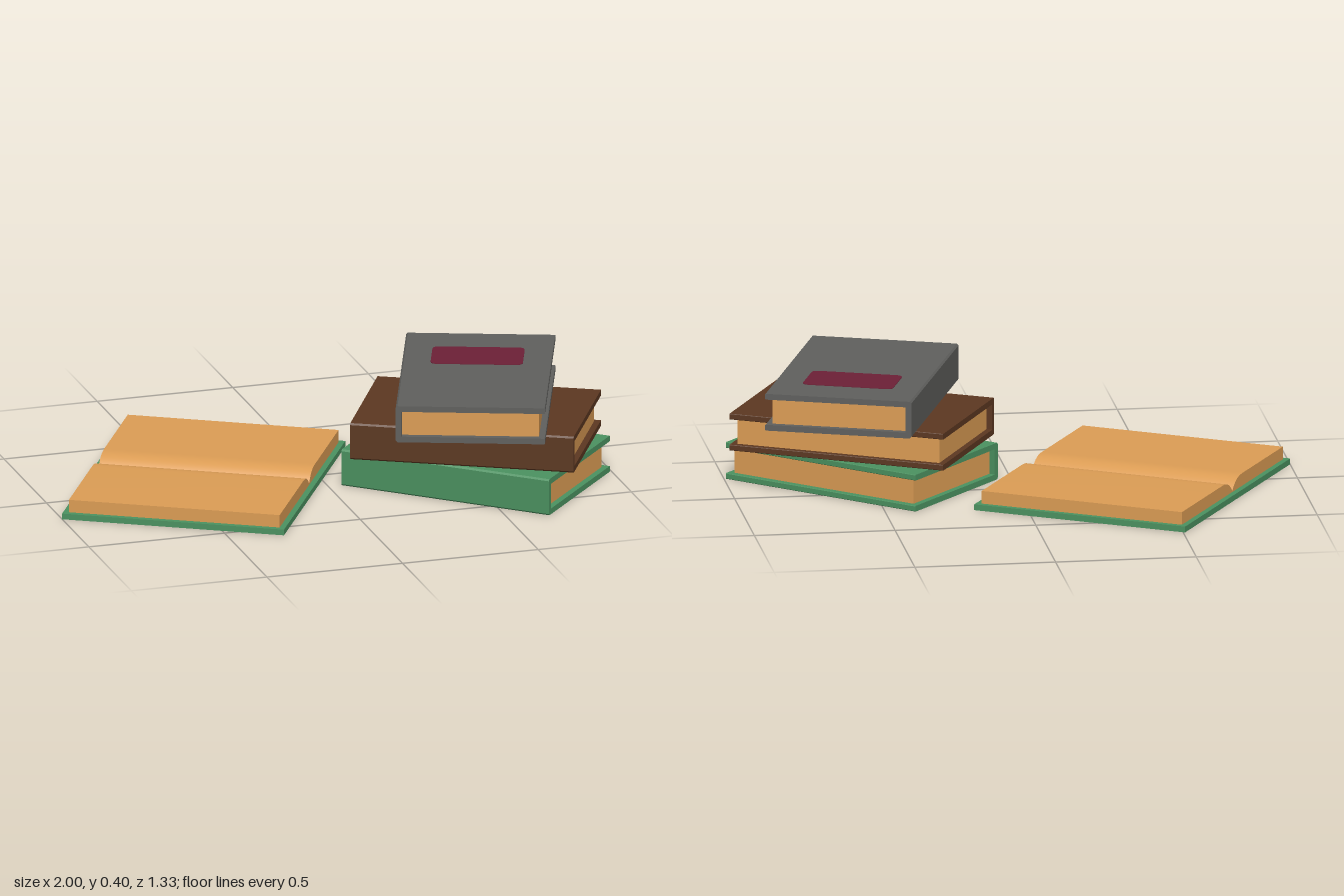
import * as THREE from 'three';
import { toCreasedNormals } from 'three/addons/utils/BufferGeometryUtils.js';

const LENGTH = 0.8;    // along the spine
const WIDTH = 0.526;   // closed book, spine to fore edge
const HEIGHT = 0.134;  // closed book thickness
const BOARD = 0.021;   // cover thickness
const INSET = 0.022;   // pages sit back from the cover edge

const flat = (name, color) => {
  const m = new THREE.MeshStandardMaterial({ color });
  m.name = name;
  return m;
};

// Extrudes an x/y outline along z, centred on z = 0
function prism(shape, length, name, material) {
  const geo = new THREE.ExtrudeGeometry(shape, { depth: length, bevelEnabled: false, curveSegments: 10 });
  geo.translate(0, 0, -length / 2);
  const mesh = new THREE.Mesh(toCreasedNormals(geo, 0.6), material);
  mesh.name = name;
  return mesh;
}

const outline = (points) => new THREE.Shape(points.map(([x, y]) => new THREE.Vector2(x, y)));

// Closed book: C-shaped cover with the spine at -x, and a page block
function closedBook(name, cover, paper) {
  const book = new THREE.Group();
  book.name = name;
  const w = WIDTH / 2, h = HEIGHT, b = BOARD, c = 0.006, e = 0.002;
  book.add(prism(outline([
    [-w + c, 0], [w - e, 0], [w, e], [w, b - e], [w - e, b], [-w + b, b],
    [-w + b, h - b], [w - e, h - b], [w, h - b + e], [w, h - e], [w - e, h],
    [-w + c, h], [-w, h - c], [-w, c],
  ]), LENGTH, 'cover', cover));
  const pageWidth = WIDTH - BOARD - INSET;
  const pages = new THREE.Mesh(
    new THREE.BoxGeometry(pageWidth, h - 2 * b, LENGTH - 2 * INSET), paper);
  pages.name = 'pages';
  pages.position.set((BOARD - INSET) / 2, h / 2, 0);
  book.add(pages);
  return book;
}

// Thin rounded title plate, lying flat
function titlePlate(w, d, r, material) {
  const x = w / 2, y = d / 2;
  const s = new THREE.Shape();
  s.moveTo(-x + r, -y);
  s.lineTo(x - r, -y).quadraticCurveTo(x, -y, x, -y + r);
  s.lineTo(x, y - r).quadraticCurveTo(x, y, x - r, y);
  s.lineTo(-x + r, y).quadraticCurveTo(-x, y, -x, y - r);
  s.lineTo(-x, -y + r).quadraticCurveTo(-x, -y, -x + r, -y);
  const plate = prism(s, 0.004, 'titlePlate', material);
  plate.rotation.x = -Math.PI / 2;
  return plate;
}

// Open book lying flat, spine along z
function openBook(cover, paper) {
  const book = new THREE.Group();
  book.name = 'openBook';
  const w = 0.494, t = 0.021, top = 0.067, edge = w - 0.02;

  // Boards with shallow hinge grooves underneath
  book.add(prism(outline([
    [-w, 0], [-0.026, 0], [-0.022, 0.006], [-0.018, 0], [0.018, 0], [0.022, 0.006],
    [0.026, 0], [w, 0], [w, t], [-w, t],
  ]), LENGTH, 'cover', cover));

  // Page halves rolling down into the gutter
  for (const side of [-1, 1]) {
    const s = new THREE.Shape();
    s.moveTo(0, t);
    s.lineTo(side * edge, t);
    s.lineTo(side * edge, top);
    s.lineTo(side * 0.1, top);
    s.bezierCurveTo(side * 0.055, top, side * 0.03, 0.06, 0, 0.026);
    book.add(prism(s, LENGTH - 0.04, side < 0 ? 'rightPages' : 'leftPages', paper));
  }
  return book;
}

export function createModel() {
  const model = new THREE.Group();
  model.name = 'books';
  const paper = flat('paper', 0xdb9c54);
  const green = flat('greenCover', 0x4b9160);
  const brown = flat('brownCover', 0x5c3821);
  const grey = flat('greyCover', 0x5f5f5d);
  const wine = flat('wineLabel', 0x6c2036);

  // Stack of three twisted books, bottom to top
  const stack = [
    ['bottomBook', green, 48.5],
    ['middleBook', brown, 62],
    ['topBook', grey, -20],
  ];
  stack.forEach(([name, cover, turn], i) => {
    const book = closedBook(name, cover, paper);
    book.position.set(0.52, i * HEIGHT, 0.199);
    book.rotation.y = THREE.MathUtils.degToRad(turn);
    if (name === 'topBook') {
      const plate = titlePlate(0.325, 0.185, 0.025, wine);
      plate.position.set(0, HEIGHT, -0.158);
      book.add(plate);
    }
    model.add(book);
  });

  // Open book beside the stack
  const open = openBook(green, paper);
  open.position.set(-0.407, 0, -0.042);
  open.rotation.y = Math.PI / 3;
  model.add(open);
  return model;
}
